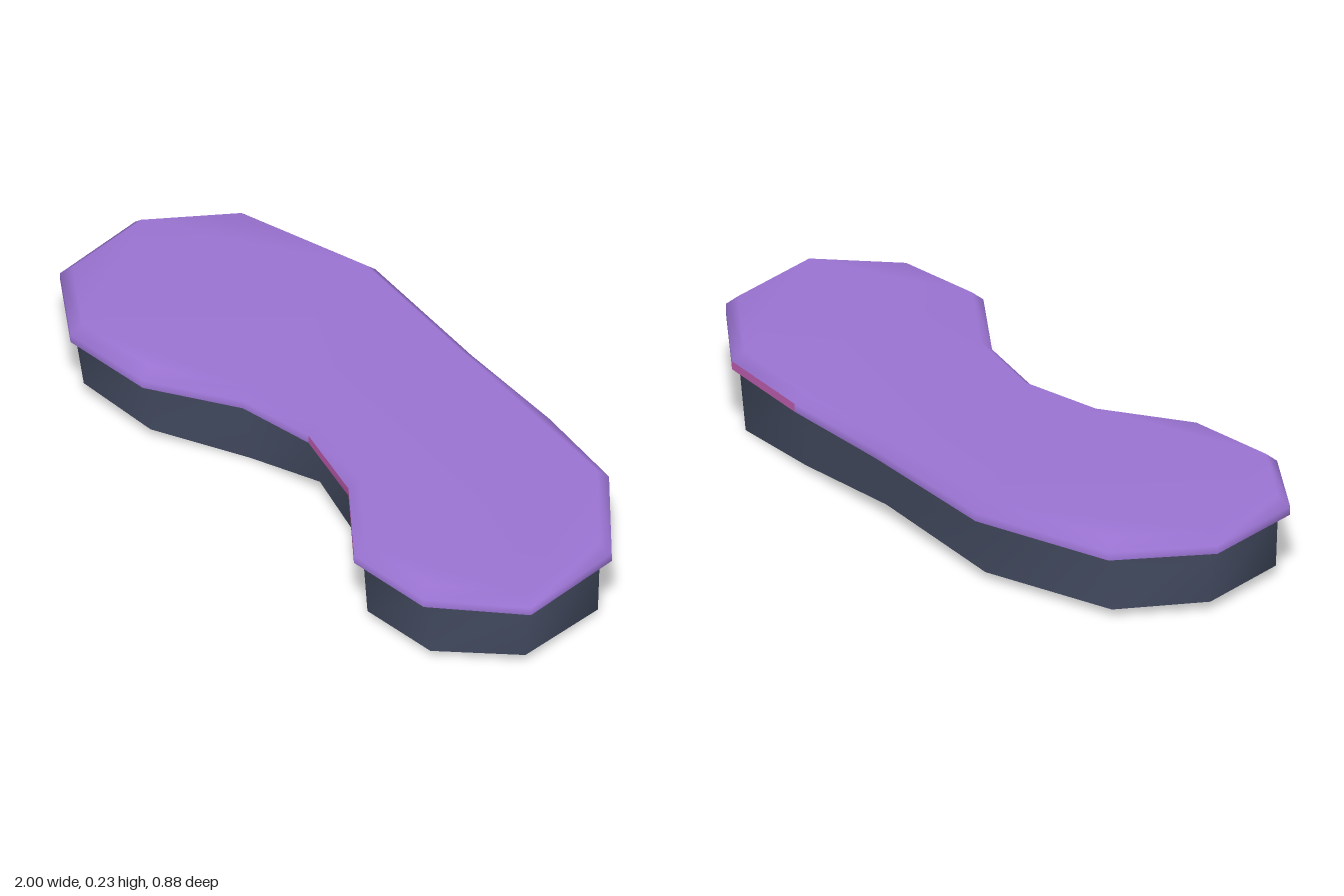
import * as THREE from 'three';

// Kidney-shaped plan, as [x, z]
const OUTLINE = [
  [-1, -0.1], [-0.84, -0.34], [-0.43, -0.44], [0.03, -0.38], [0.38, -0.35], [0.68, -0.3],
  [0.95, -0.08], [1, 0.24], [0.79, 0.43], [0.52, 0.44], [0.28, 0.255], [0.03, 0.18],
  [-0.2, 0.21], [-0.44, 0.35], [-0.72, 0.36], [-0.95, 0.2],
];
// Uneven height of the underside below each outline corner
const FOOT = [0.03, 0.025, 0.025, 0.04, 0.02, 0.003, 0.02, 0.03,
  0.02, 0.02, 0.025, 0.045, 0.004, 0.03, 0.042, 0.032];
const N = OUTLINE.length;
const GLOW_SEGMENTS = [4, 9, 10];

// Outline moved inwards by t, at one height or at a height per corner
function ring(t, y) {
  const normal = (i) => {
    const a = OUTLINE[(i + N) % N], b = OUTLINE[(i + 1) % N];
    return new THREE.Vector2(b[1] - a[1], a[0] - b[0]).normalize();
  };
  return OUTLINE.map(([x, z], i) => {
    const n1 = normal(i - 1), n2 = normal(i);
    const k = t / (1 + n1.dot(n2));
    return new THREE.Vector3(x - (n1.x + n2.x) * k, Array.isArray(y) ? y[i] : y, z - (n1.y + n2.y) * k);
  });
}

// Skin between rings listed from bottom to top; useSegment(row, i) picks the panels
function skin(rings, useSegment = () => true, capTop = false) {
  const index = [];
  for (let r = 0; r < rings.length - 1; r++) {
    for (let i = 0; i < N; i++) {
      if (!useSegment(r, i)) continue;
      const a = r * N + i, b = r * N + (i + 1) % N;
      index.push(b, a, a + N, b, a + N, b + N);
    }
  }
  if (capTop) index.push(...capIndex(rings.at(-1), true, (rings.length - 1) * N));
  return build(rings.flat(), index);
}

function capIndex(points, up, offset = 0) {
  const flat = points.map((p) => new THREE.Vector2(p.x, p.z));
  return THREE.ShapeUtils.triangulateShape(flat, []).flatMap(([a, b, c]) => {
    const cross = flat[b].clone().sub(flat[a]).cross(flat[c].clone().sub(flat[a]));
    const facesUp = cross < 0;
    return (facesUp === up ? [a, b, c] : [a, c, b]).map((v) => v + offset);
  });
}

function build(points, index) {
  const geometry = new THREE.BufferGeometry().setFromPoints(points);
  geometry.setIndex(index);
  geometry.computeVertexNormals();
  return geometry;
}

export function createModel() {
  const group = new THREE.Group();
  const material = (name, color) => {
    const m = new THREE.MeshStandardMaterial({ color });
    m.name = name;
    return m;
  };
  const purple = material('purple', 0x9b74d3);
  const pink = material('pink', 0xc45fb4);
  const slate = material('slate', 0x434b60);
  const add = (name, geometry, mat) => {
    const mesh = new THREE.Mesh(geometry, mat);
    mesh.name = name;
    group.add(mesh);
  };

  const foot = ring(0.036, FOOT), neck = ring(0.031, 0.185);
  const lip = ring(0, 0.185), edge = ring(0, 0.208), top = ring(0.031, 0.235);
  const isGlow = (row, i) => row === 0 && GLOW_SEGMENTS.includes(i);

  // Base block with an uneven underside
  add('baseWall', skin([foot, neck]), slate);
  add('baseBottom', build(foot, capIndex(foot, false)), slate);

  // Overhanging slab with a bevelled edge
  add('slabUnderside', skin([neck, lip]), purple);
  add('slabTop', skin([lip, edge, top], (r, i) => !isGlow(r, i), true), purple);

  // Pink panels on the slab edge
  add('edgePanels', skin([lip, edge], isGlow), pink);

  return group;
}
